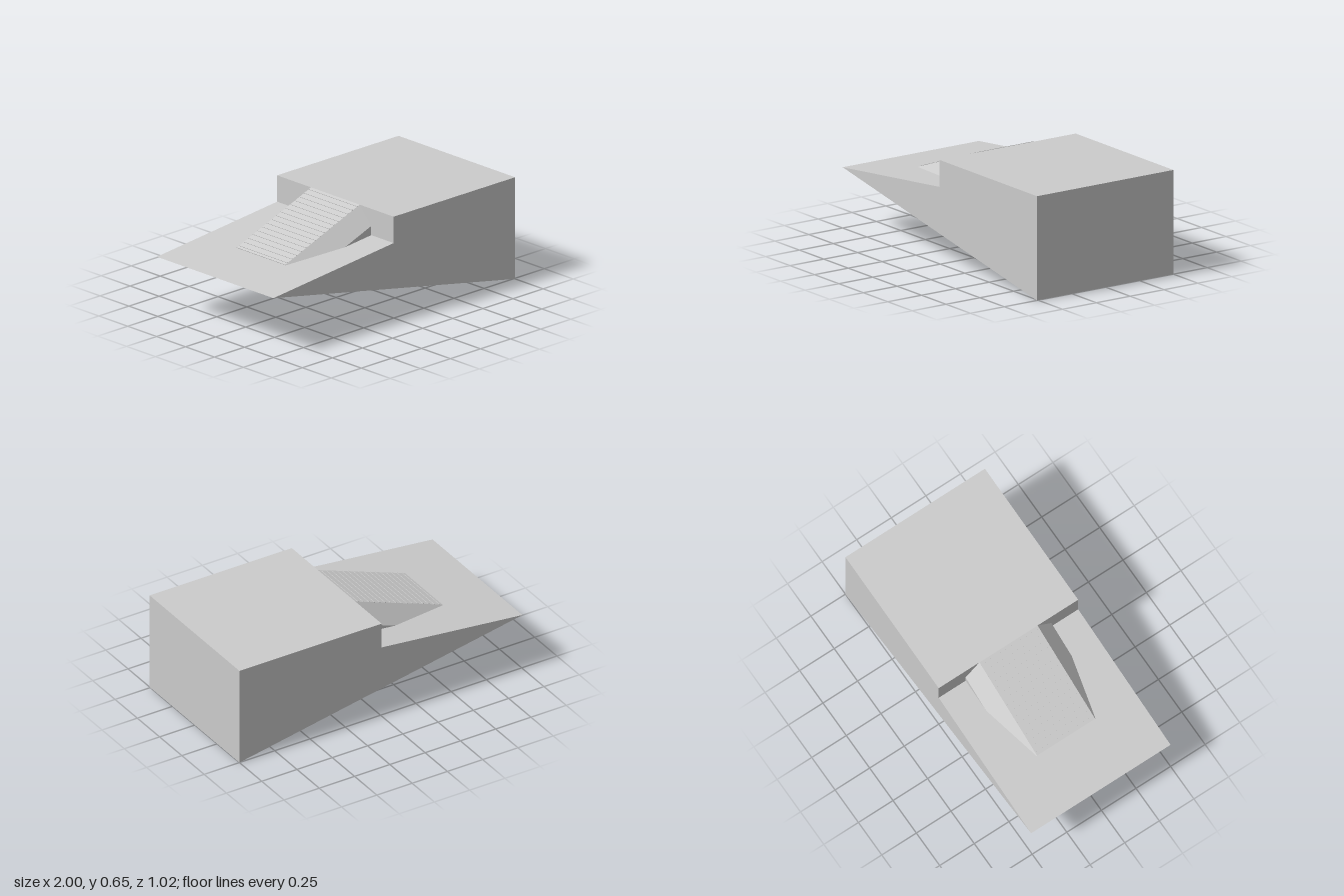
import * as THREE from 'three';

const material = new THREE.MeshStandardMaterial({ color: 0xcccccc, flatShading: true });

function prism(name, points, depth) {
  const shape = new THREE.Shape(points.map(([x, y]) => new THREE.Vector2(x, y)));
  const geometry = new THREE.ExtrudeGeometry(shape, { depth, bevelEnabled: false });
  const mesh = new THREE.Mesh(geometry, material);
  mesh.name = name;
  return mesh;
}

export function createModel() {
  const model = new THREE.Group();
  model.name = 'wedgeWithStairway';

  // Wedge body with a raised block, its sides very slightly skewed
  const profile = [[-1, 0.378], [1, 0], [1, 0.648], [-0.005, 0.648], [-0.005, 0.48]];
  const body = prism('wedgeBody', profile, 1.008);
  body.geometry.translate(0, 0, -0.504);
  const pos = body.geometry.attributes.position;
  for (let i = 0; i < pos.count; i++) pos.setZ(i, pos.getZ(i) + 0.004 * pos.getX(i));
  body.geometry.computeVertexNormals();
  model.add(body);

  // Stairway: local z climbs the slope, local y is normal to it
  const start = new THREE.Vector3(-0.622, 0.42, 0);
  const top = new THREE.Vector3(-0.005, 0.648, 0);
  const along = top.clone().sub(start);
  const length = along.length();
  along.normalize();
  const up = new THREE.Vector3(-along.y, along.x, 0);
  const stairway = new THREE.Group();
  stairway.name = 'stairway';
  stairway.quaternion.setFromRotationMatrix(
    new THREE.Matrix4().makeBasis(new THREE.Vector3(0, 0, -1), up, along));
  stairway.position.copy(start);
  model.add(stairway);

  // Chamfered beam, buried in the block at its upper end
  const section = [[-0.31, -0.184], [0.31, -0.184], [0.31, -0.103],
    [0.21, 0], [-0.21, 0], [-0.31, -0.103]];
  stairway.add(prism('stairBeam', section, length));

  // Fine nosings across the slope
  const steps = 16;
  const nosing = new THREE.BoxGeometry(0.42, 0.006, 0.005);
  for (let i = 0; i < steps; i++) {
    const mesh = new THREE.Mesh(nosing, material);
    mesh.name = 'stepNosing';
    mesh.position.z = (i + 0.5) * length / steps;
    stairway.add(mesh);
  }
  return model;
}
